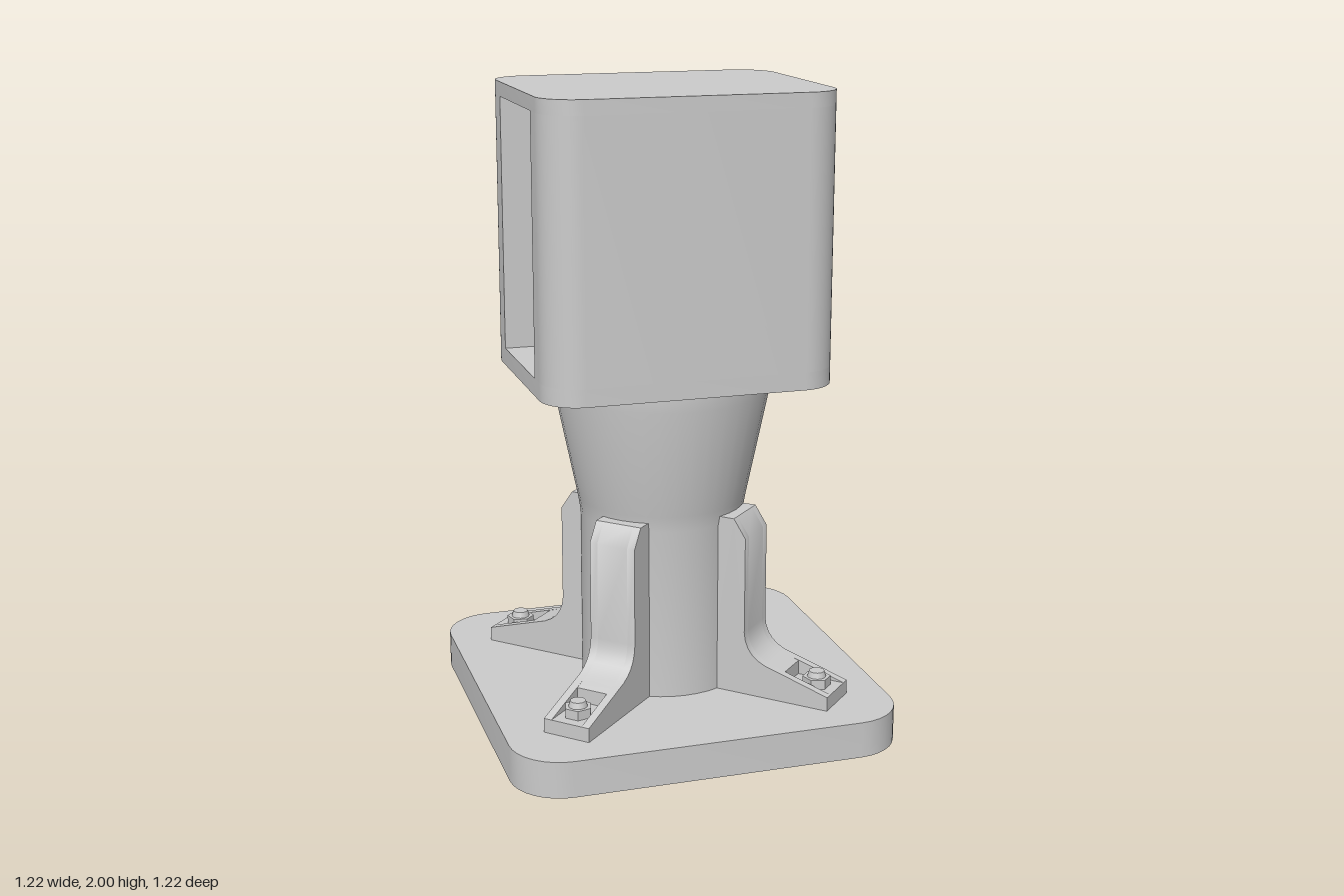
import * as THREE from 'three';
import { toCreasedNormals } from 'three/addons/utils/BufferGeometryUtils.js';

const material = new THREE.MeshStandardMaterial({ color: 0xcccccc });

function add(parent, name, geometry, x = 0, y = 0, z = 0) {
  const mesh = new THREE.Mesh(toCreasedNormals(geometry, 0.6), material);
  mesh.name = name;
  mesh.position.set(x, y, z);
  parent.add(mesh);
  return mesh;
}

// Horizontal outline (x, -z) raised from y0 to y1
function slab(shape, y0, y1, curveSegments = 6) {
  return new THREE.ExtrudeGeometry(shape, { depth: y1 - y0, bevelEnabled: false, curveSegments })
    .rotateX(-Math.PI / 2).translate(0, y0, 0);
}

function roundedRect(w, d, r) {
  const s = new THREE.Shape();
  s.absarc(w - r, d - r, r, 0, Math.PI / 2);
  s.absarc(-w + r, d - r, r, Math.PI / 2, Math.PI);
  s.absarc(-w + r, -d + r, r, Math.PI, Math.PI * 1.5);
  s.absarc(w - r, -d + r, r, Math.PI * 1.5, Math.PI * 2);
  s.closePath();
  return s;
}

// Housing dimensions
const W = 0.455, D = 0.37, R = 0.115, INNER = 0.2;
const BOLT_X = 0.235, BOLT_Y = 0.31, MID_Y = 1.555, POCKET = 0.075, FLOOR = 0.3;

// Section of one housing wall, optionally notched for the bolt pockets
function wallShape(notched) {
  const s = new THREE.Shape();
  s.moveTo(-W, INNER);
  s.lineTo(W, INNER);
  s.absarc(W - R, D - R, R, 0, Math.PI / 2);
  if (notched) {
    for (const x of [BOLT_X, -BOLT_X]) {
      s.lineTo(x + POCKET, D);
      s.lineTo(x + POCKET, FLOOR);
      s.lineTo(x - POCKET, FLOOR);
      s.lineTo(x - POCKET, D);
    }
  }
  s.absarc(-W + R, D - R, R, Math.PI / 2, Math.PI);
  s.closePath();
  return s;
}

// Hex bolt standing on its local y = 0
function makeBolt(name) {
  const bolt = new THREE.Group();
  bolt.name = name;
  add(bolt, 'boltHead', new THREE.CylinderGeometry(0.044, 0.044, 0.03, 6), 0, 0.015, 0);
  add(bolt, 'boltTip', new THREE.CylinderGeometry(0.024, 0.03, 0.02, 12), 0, 0.038, 0);
  return bolt;
}

function makeHousing() {
  const housing = new THREE.Group();
  housing.name = 'housing';
  const full = roundedRect(W, D, R);
  add(housing, 'housingTop', slab(full, 1.955, 2));
  add(housing, 'housingFloor', slab(full, 1.11, 1.165));
  add(housing, 'frontWall', slab(wallShape(false), 1.165, 1.955)).rotation.y = Math.PI;

  // Back wall in bands, alternating plain and pocketed
  const levels = [1.165, MID_Y - BOLT_Y - POCKET, MID_Y - BOLT_Y + POCKET,
    MID_Y + BOLT_Y - POCKET, MID_Y + BOLT_Y + POCKET, 1.955];
  for (let i = 0; i < 5; i++) {
    add(housing, 'backWall', slab(wallShape(i % 2 === 1), levels[i], levels[i + 1]));
  }
  for (const x of [-BOLT_X, BOLT_X]) {
    for (const y of [-BOLT_Y, BOLT_Y]) {
      const bolt = makeBolt('housingBolt');
      bolt.position.set(x, MID_Y + y, -FLOOR);
      bolt.rotation.x = -Math.PI / 2;
      housing.add(bolt);
    }
  }
  return housing;
}

function lathe(points, segments) {
  return new THREE.LatheGeometry(points.map(([r, y]) => new THREE.Vector2(r, y)), segments);
}

// Wheel lying across the opening, axle along z
function makeWheel() {
  const wheel = new THREE.Group();
  wheel.name = 'wheel';
  const pad = [[0, 0.065], [0.38, 0.065], [0.38, 0.1], [0.37, 0.135], [0.345, 0.165], [0.3, 0.182], [0, 0.182]];
  for (const side of [0, Math.PI]) {
    add(wheel, 'wheelPad', lathe(pad, 32).rotateX(Math.PI / 2 + side), 0, 1.55, 0);
  }
  add(wheel, 'wheelHub', new THREE.CylinderGeometry(0.315, 0.315, 0.13, 24).rotateX(Math.PI / 2), 0, 1.545, 0);
  add(wheel, 'wheelDisc', new THREE.CylinderGeometry(0.372, 0.372, 0.07, 24).rotateX(Math.PI / 2), 0, 1.573, 0);
  add(wheel, 'axle', new THREE.CylinderGeometry(0.05, 0.05, 0.4, 16).rotateX(Math.PI / 2), 0, 1.55, 0);
  return wheel;
}

// Side profile of a bracket: radius outwards, height upwards
function bracketShape(pocketed) {
  const s = new THREE.Shape();
  s.moveTo(0.2, 0.115);
  s.lineTo(0.615, 0.115);
  s.lineTo(0.615, 0.16);
  if (pocketed) {
    s.lineTo(0.46, 0.16);
    s.lineTo(0.46, 0.205);
  }
  s.lineTo(0.43, 0.215);
  s.quadraticCurveTo(0.335, 0.235, 0.33, 0.32);
  s.lineTo(0.33, 0.63);
  s.lineTo(0.29, 0.69);
  s.lineTo(0.2, 0.69);
  s.closePath();
  return s;
}

function bracketSlice(pocketed, z0, z1) {
  return new THREE.ExtrudeGeometry(bracketShape(pocketed), { depth: z1 - z0, bevelEnabled: false, curveSegments: 6 })
    .translate(0, 0, z0);
}

function makeBracket() {
  const bracket = new THREE.Group();
  bracket.name = 'bracket';
  add(bracket, 'bracketCore', bracketSlice(true, -0.052, 0.052));
  add(bracket, 'bracketCheek', bracketSlice(false, 0.052, 0.078));
  add(bracket, 'bracketCheek', bracketSlice(false, -0.078, -0.052));
  const bolt = makeBolt('bracketBolt');
  bolt.position.set(0.545, 0.16, 0);
  bracket.add(bolt);
  return bracket;
}

export function createModel() {
  const model = new THREE.Group();
  model.name = 'pedestalMount';

  add(model, 'basePlate', slab(roundedRect(0.612, 0.612, 0.16), 0, 0.115, 4));

  // Straight column flaring towards the housing
  const column = [[0, 0.115], [0.26, 0.115], [0.26, 0.66], [0.268, 0.71], [0.34, 1.06], [0.34, 1.11], [0, 1.11]];
  add(model, 'column', lathe(column, 40));

  // Four diagonal brackets bolted to the base
  for (let i = 0; i < 4; i++) {
    const bracket = makeBracket();
    bracket.rotation.y = Math.PI / 4 + i * Math.PI / 2;
    bracket.position.z = 0.012;
    model.add(bracket);
  }

  model.add(makeHousing(), makeWheel());
  return model;
}
